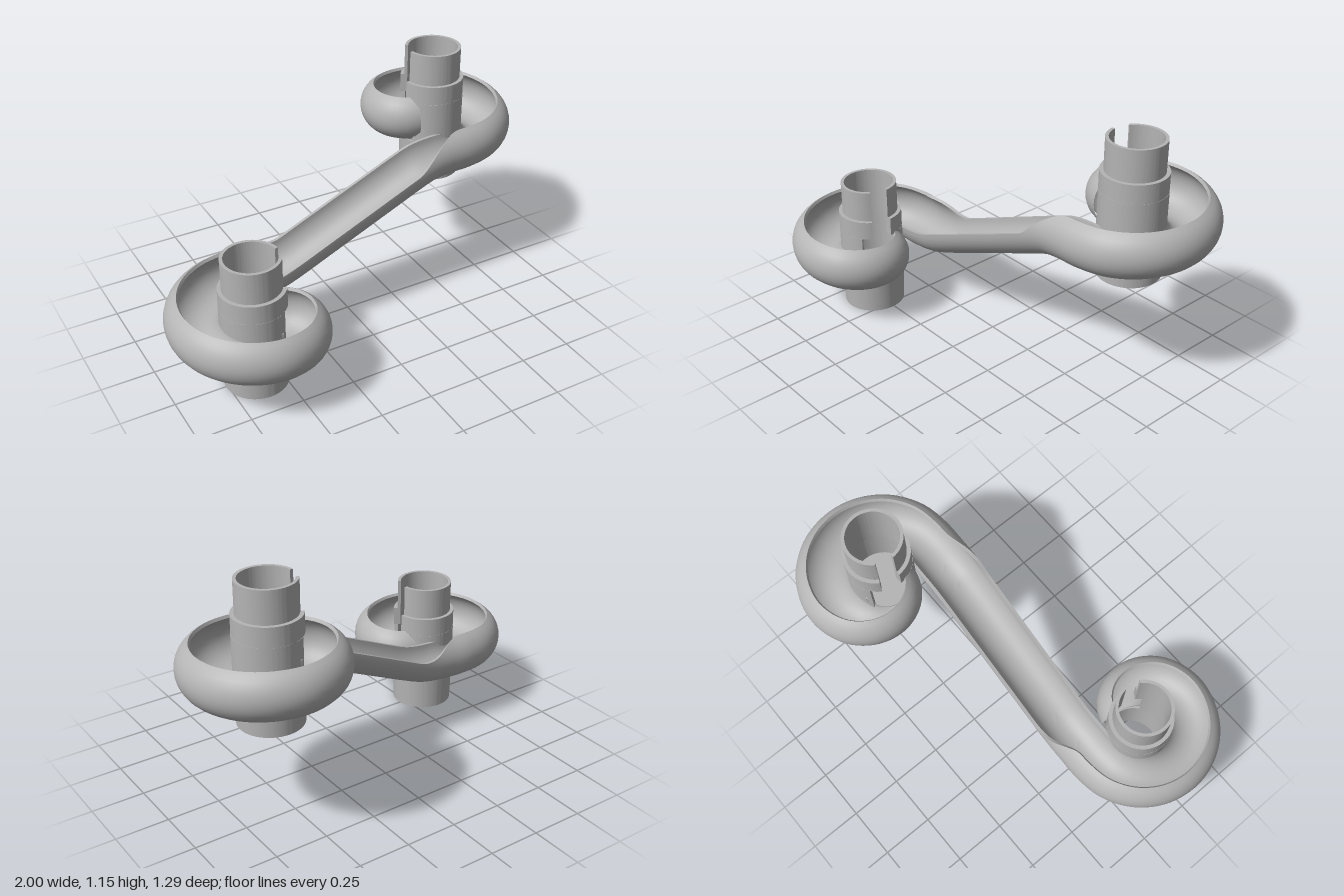
import * as THREE from 'three';
import { toCreasedNormals } from 'three/addons/utils/BufferGeometryUtils.js';

const CX = 0.612, CZ = 0.26;      // tower axis offset from the middle
const MID_Y = 0.565;              // channel height at the middle of the track
const R_OUT = 0.127, R_IN = 0.112;

const grey = new THREE.MeshStandardMaterial({ color: 0xb4b4b4 });
grey.name = 'grey plastic';

const rad = THREE.MathUtils.degToRad;

// Ring wall between two heights, with an optional gap (degrees, centred on 14)
function wall(name, y0, y1, rOuter, rInner, gap = 0) {
  const shape = new THREE.Shape();
  if (gap > 0) {
    const a = rad(-14 + gap / 2), b = rad(346 - gap / 2);
    shape.absarc(0, 0, rOuter, a, b, false);
    shape.absarc(0, 0, rInner, b, a, true);
    shape.closePath();
  } else {
    shape.absarc(0, 0, rOuter, 0, Math.PI * 2, false);
    const hole = new THREE.Path();
    hole.absarc(0, 0, rInner, 0, Math.PI * 2, true);
    shape.holes.push(hole);
  }
  const geo = new THREE.ExtrudeGeometry(shape, { depth: y1 - y0, bevelEnabled: false, curveSegments: 56 });
  geo.rotateX(-Math.PI / 2).translate(0, y0, 0);
  // slight draft at the foot
  const p = geo.attributes.position;
  for (let i = 0; i < p.count; i++) {
    const k = p.getY(i) < 0.01 ? 0.968 : 1;
    p.setX(i, p.getX(i) * k);
    p.setZ(i, p.getZ(i) * k);
  }
  const mesh = new THREE.Mesh(toCreasedNormals(geo, 0.6), grey);
  mesh.name = name;
  return mesh;
}

// Socket foot, mouth for the channel, slotted body and slotted peg
function tower(name) {
  const g = new THREE.Group();
  g.name = name;
  g.add(
    wall('socket', 0, 0.2, 0.152, 0.137),
    wall('mouth', 0.2, 0.41, 0.152, 0.134, 76),
    wall('slottedBody', 0.41, 0.5, 0.151, 0.118, 36),
    wall('slottedPeg', 0.5, 0.65, 0.133, 0.118, 36),
  );
  return g;
}

// Centre line: upper spiral, sloping straight, lower spiral
function trackCurve() {
  const half = [[0.1, 0.609, 0], [0.2, 0.653, 0], [0.3, 0.697, 0], [0.4, 0.735, 0], [0.5, 0.75, 0]];
  for (let i = 0; i <= 8; i++) {
    const a = Math.PI / 2 - (i / 8) * Math.PI;
    half.push([CX + 0.26 * Math.cos(a), 0.755 + 0.005 * i, -CZ + 0.26 * Math.sin(a)]);
  }
  half.push([0.51, 0.802, -0.487], [0.453, 0.808, -0.415], [0.447, 0.813, -0.34],
    [0.48, 0.817, -0.288], [0.53, 0.82, -0.27]);
  const upper = half.map(p => new THREE.Vector3(...p));
  const lower = upper.map(p => new THREE.Vector3(-p.x, 2 * MID_Y - p.y, -p.z));
  return new THREE.CatmullRomCurve3(
    [...upper.reverse(), new THREE.Vector3(0, MID_Y, 0), ...lower], false, 'centripetal');
}

// Open channel; its outer wall curls inward round the bends
function channel() {
  const curve = trackCurve(), STEPS = 240, N = 24;
  const pos = [], idx = [], up = new THREE.Vector3(0, 1, 0);
  const ring = 2 * (N + 1);
  for (let i = 0; i <= STEPS; i++) {
    const c = curve.getPointAt(i / STEPS), t = curve.getTangentAt(i / STEPS);
    const side = new THREE.Vector3().crossVectors(t, up).normalize();
    const nrm = new THREE.Vector3().crossVectors(side, t);
    const isUpper = i < STEPS / 2, sgn = isUpper ? 1 : -1;
    const onBend = c.z * sgn < -0.012;
    const curl = rad(60) * (onBend ? 1 : THREE.MathUtils.smoothstep(c.x * sgn, 0.3, 0.57));
    const a0 = -Math.PI - (isUpper ? curl : 0), a1 = isUpper ? 0 : curl;
    for (let k = 0; k < ring; k++) {
      const outer = k <= N;
      const f = outer ? k / N : (ring - 1 - k) / N;
      const a = a0 + (a1 - a0) * f, r = outer ? R_OUT : R_IN;
      const v = c.clone().addScaledVector(side, r * Math.cos(a)).addScaledVector(nrm, r * Math.sin(a));
      // stop at the tower wall
      const dx = v.x - CX * sgn, dz = v.z + CZ * sgn, d = Math.hypot(dx, dz);
      if (d < 0.143) {
        v.x = CX * sgn + dx * 0.143 / d;
        v.z = -CZ * sgn + dz * 0.143 / d;
      }
      pos.push(v.x, v.y, v.z);
    }
  }
  for (let i = 0; i < STEPS; i++) {
    for (let k = 0; k < ring; k++) {
      const k2 = (k + 1) % ring;
      const a = i * ring + k, b = a + ring, c = i * ring + k2, d = c + ring;
      idx.push(a, b, c, b, d, c);
    }
  }
  const geo = new THREE.BufferGeometry();
  geo.setAttribute('position', new THREE.Float32BufferAttribute(pos, 3));
  geo.setIndex(idx);
  const mesh = new THREE.Mesh(toCreasedNormals(geo, 0.7), grey);
  mesh.name = 'channel';
  return mesh;
}

export function createModel() {
  const model = new THREE.Group();
  model.name = 'marbleRun';

  const low = tower('lowerTower');
  low.position.set(-CX, 0, CZ);

  const high = tower('upperTower');
  high.position.set(CX, 0.5, -CZ);
  high.rotation.y = Math.PI;

  // floor that sends the marble out of the upper tower
  const floor = new THREE.Mesh(new THREE.CylinderGeometry(0.142, 0.142, 0.015, 56), grey);
  floor.name = 'towerFloor';
  floor.position.y = 0.2;
  high.add(floor);

  model.add(low, high, channel());
  return model;
}
